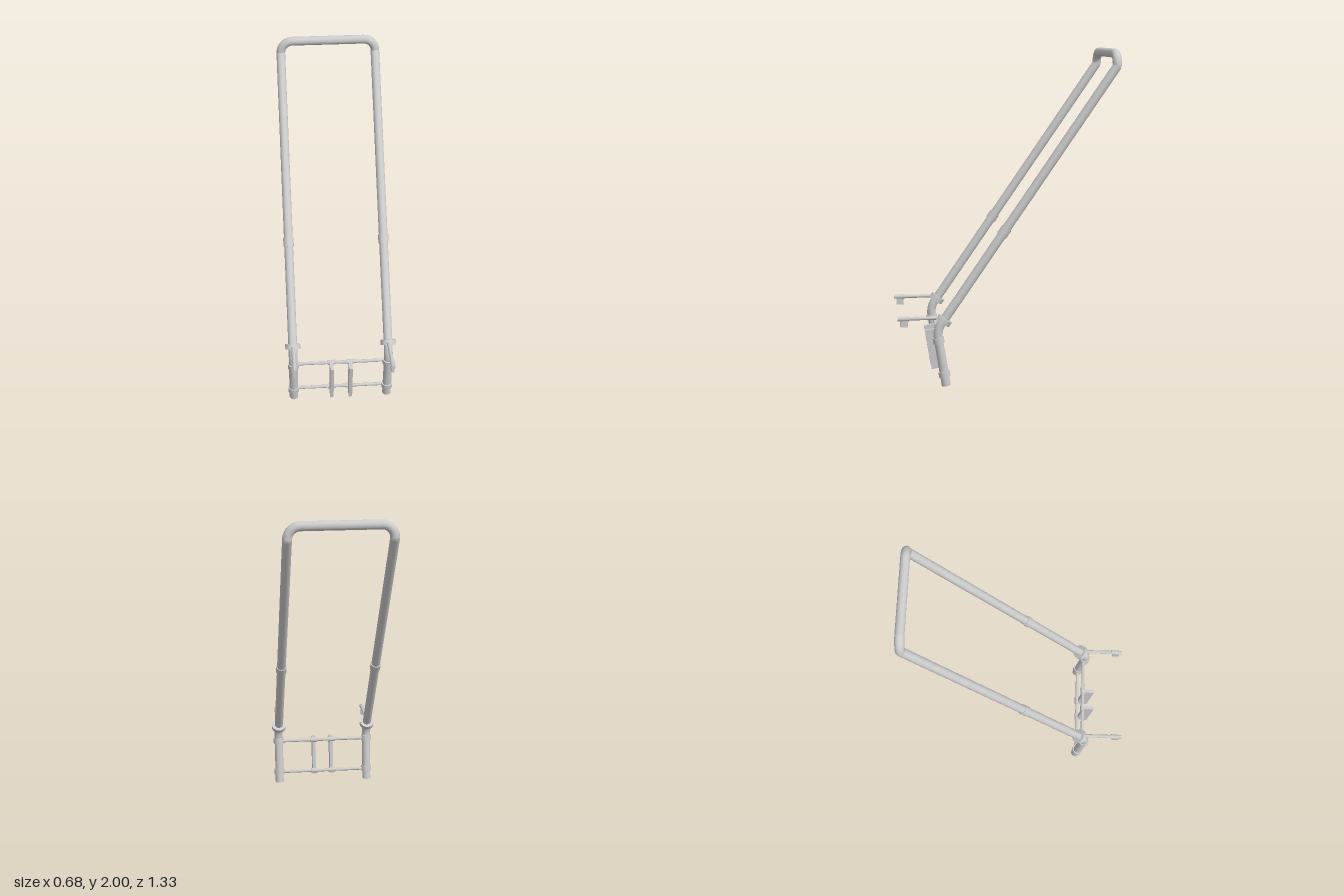
import * as THREE from 'three';

const V = (x, y, z) => new THREE.Vector3(x, y, z);
const UP = V(0, 1, 0);
const X = 0.293, R = 0.027;

// key points of one side of the frame (y, z)
const foot = [0.005, 0.38], knee = [0.29, 0.425], bend = [0.36, 0.436], hip = [0.415, 0.384], shoulder = [1.9, -0.638];
const TOP = 1.973, CORNER = TOP - shoulder[0];
const lerp = (a, b, y) => a[1] + (b[1] - a[1]) * (y - a[0]) / (b[0] - a[0]);
const dir = (a, b) => V(0, b[0] - a[0], b[1] - a[1]).normalize();
const lowerAxis = dir(foot, knee), upperAxis = dir(hip, shoulder);

export function createModel() {
  const group = new THREE.Group();
  const mat = new THREE.MeshStandardMaterial({ color: 0xcccccc });

  const add = (name, geo, pos) => {
    const mesh = new THREE.Mesh(geo, mat);
    mesh.name = name;
    if (pos) mesh.position.copy(pos);
    group.add(mesh);
    return mesh;
  };
  // cylinder centred on pos, along axis
  const rod = (name, r, length, pos, axis, sides = 20) => {
    const mesh = add(name, new THREE.CylinderGeometry(r, r, length, sides), pos);
    mesh.quaternion.setFromUnitVectors(UP, axis);
    return mesh;
  };

  // continuous bent tube: up one side, across the handle, down the other
  const p = (s, q) => V(s * X, q[0], q[1]);
  const k = 0.552 * CORNER, zt = shoulder[1];
  const path = new THREE.CurvePath();
  path.add(new THREE.LineCurve3(p(-1, foot), p(-1, knee)));
  path.add(new THREE.QuadraticBezierCurve3(p(-1, knee), p(-1, bend), p(-1, hip)));
  path.add(new THREE.LineCurve3(p(-1, hip), p(-1, shoulder)));
  path.add(new THREE.CubicBezierCurve3(p(-1, shoulder), V(-X, shoulder[0] + k, zt),
    V(-X + CORNER - k, TOP, zt), V(-X + CORNER, TOP, zt)));
  path.add(new THREE.LineCurve3(V(-X + CORNER, TOP, zt), V(X - CORNER, TOP, zt)));
  path.add(new THREE.CubicBezierCurve3(V(X - CORNER, TOP, zt), V(X - CORNER + k, TOP, zt),
    V(X, shoulder[0] + k, zt), p(1, shoulder)));
  path.add(new THREE.LineCurve3(p(1, shoulder), p(1, hip)));
  path.add(new THREE.QuadraticBezierCurve3(p(1, hip), p(1, bend), p(1, knee)));
  path.add(new THREE.LineCurve3(p(1, knee), p(1, foot)));
  add('frameTube', new THREE.TubeGeometry(path, 420, R, 20, false));

  for (const s of [-1, 1]) {
    const side = s > 0 ? 'left' : 'right';
    // closed foot end
    rod(side + 'FootCap', R, 0.02, p(s, foot).addScaledVector(lowerAxis, 0.0095), lowerAxis);
    // clamps holding the cross rods
    for (const y of [0.075, 0.283])
      rod(side + 'RodClamp', 0.034, 0.034, V(s * X, y, lerp(foot, knee, y)), lowerAxis);
    // joint sleeve halfway up the handle
    rod(side + 'JointSleeve', 0.032, 0.052, V(s * X, 0.93, lerp(hip, shoulder, 0.93)), upperAxis);
    // wide collar at the bend
    rod(side + 'BendCollar', 0.046, 0.032, V(s * X, 0.403, 0.391), upperAxis, 24);
    // forward arm with thick tip and peg
    rod(side + 'Arm', 0.011, 0.25, V(s * X, 0.42, 0.535), V(0, 0, 1), 16);
    rod(side + 'ArmSleeve', 0.015, 0.045, V(s * X, 0.42, 0.62), V(0, 0, 1), 16);
    rod(side + 'ArmTip', 0.013, 0.07, V(s * X, 0.42, 0.63), V(0, 0, 1), 16);
    add(side + 'ArmPeg', new THREE.BoxGeometry(0.018, 0.045, 0.046), V(s * X, 0.393, 0.627));
  }

  // cross rods, with short sleeves where the plates hang
  for (const [y, z] of [[0.075, 0.384], [0.285, 0.414]]) {
    rod('crossRod', 0.01, 2 * X, V(0, y, z), V(1, 0, 0), 16);
    for (const s of [-1, 1]) rod('plateSleeve', 0.015, 0.045, V(s * 0.058, y, z), V(1, 0, 0), 16);
  }

  // pair of upright plates, leaning with the lower tubes
  for (const s of [-1, 1]) {
    const plate = add('uprightPlate', new THREE.BoxGeometry(0.022, 0.25, 0.068), V(s * 0.058, 0.168, 0.437));
    plate.quaternion.setFromUnitVectors(UP, lowerAxis);
  }
  return group;
}
